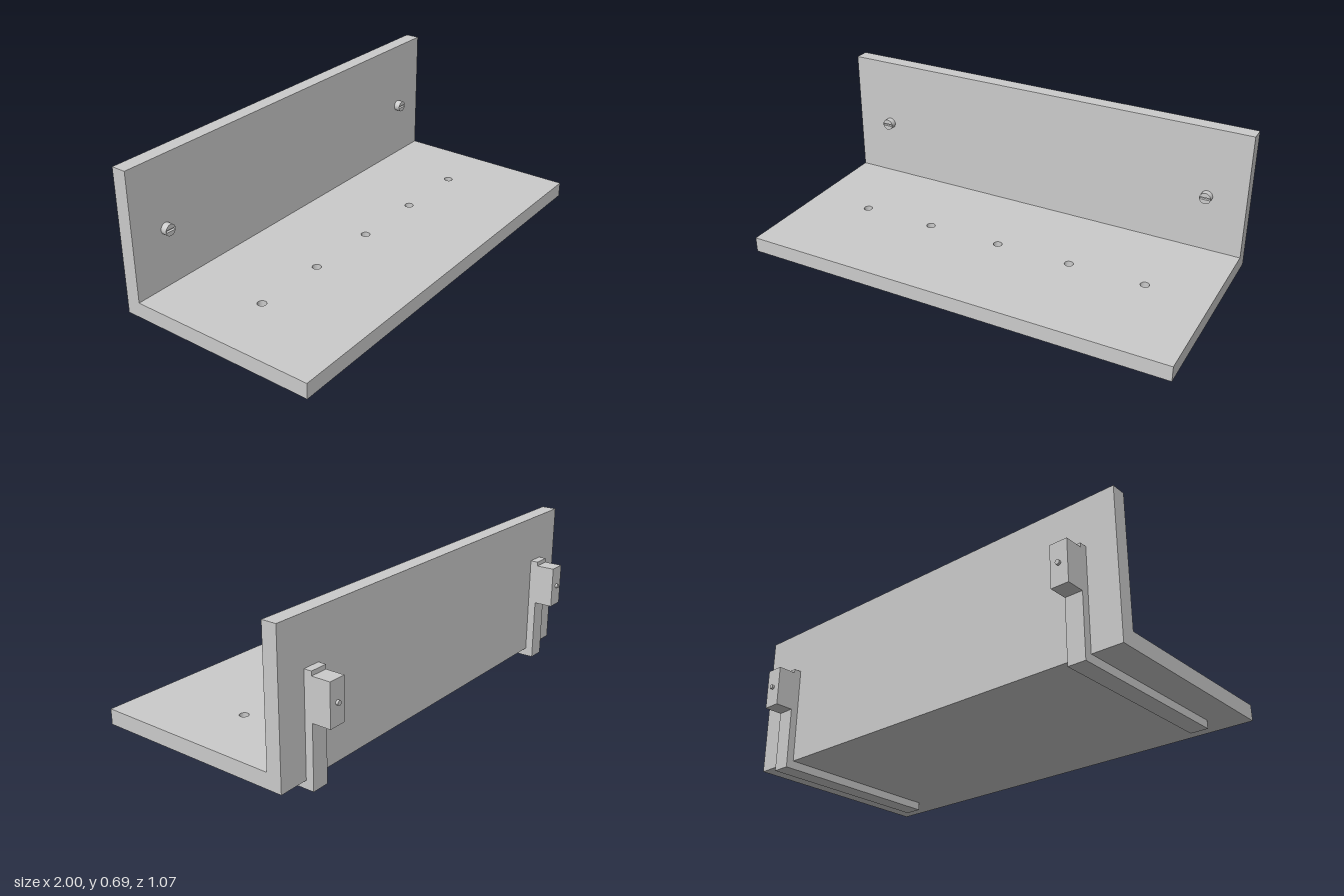
import * as THREE from 'three';

const material = new THREE.MeshStandardMaterial({ color: 0xcccccc });

function addMesh(parent, name, geometry) {
  const mesh = new THREE.Mesh(geometry, material);
  mesh.name = name;
  parent.add(mesh);
  return mesh;
}

// Box given by its lower and upper corner
function addBox(parent, name, [x0, y0, z0], [x1, y1, z1]) {
  const mesh = addMesh(parent, name, new THREE.BoxGeometry(x1 - x0, y1 - y0, z1 - z0));
  mesh.position.set((x0 + x1) / 2, (y0 + y1) / 2, (z0 + z1) / 2);
}

function rectangle(Type, x0, y0, x1, y1) {
  return new Type([[x0, y0], [x1, y0], [x1, y1], [x0, y1]].map(([x, y]) => new THREE.Vector2(x, y)));
}

function extrude(shape, depth) {
  return new THREE.ExtrudeGeometry(shape, { depth, bevelEnabled: false, curveSegments: 24 });
}

// Strap under and behind the boards, with a clamp block, screw head and bolt end
function makeBracket() {
  const bracket = new THREE.Group();
  const width = 0.08;
  const profile = new THREE.Shape([
    [-0.405, 0], [0.438, 0], [0.438, 0.28], [0.522, 0.28], [0.522, 0.465],
    [0.438, 0.465], [0.438, 0.484], [0.403, 0.484], [0.403, 0.037], [-0.405, 0.037],
  ].map(([z, y]) => new THREE.Vector2(z, y)));
  const strap = extrude(profile, width);
  strap.translate(0, 0, -width / 2);
  strap.rotateY(Math.PI / 2); // profile x runs toward the back
  addMesh(bracket, 'strapAndBlock', strap);

  const headShape = new THREE.Shape().absarc(0, 0, 0.026, 0, Math.PI * 2);
  headShape.holes.push(rectangle(THREE.Path, -0.025, -0.005, 0.025, 0.005));
  const slottedFace = addMesh(bracket, 'slottedScrewFace', extrude(headShape, 0.012));
  slottedFace.position.set(0, 0.373, -0.318);

  const head = addMesh(bracket, 'screwHead', new THREE.CylinderGeometry(0.026, 0.026, 0.03, 48));
  head.rotation.x = Math.PI / 2;
  head.position.set(0, 0.373, -0.333);

  const bolt = addMesh(bracket, 'boltEnd', new THREE.CylinderGeometry(0.01, 0.01, 0.03, 24));
  bolt.rotation.x = Math.PI / 2;
  bolt.position.set(0, 0.373, -0.518);
  return bracket;
}

export function createModel() {
  const model = new THREE.Group();
  model.name = 'bracketedShelf';

  // Upright board and the lower layer of the shelf board
  addBox(model, 'backBoard', [-1, 0.037, -0.403], [1, 0.695, -0.335]);
  addBox(model, 'shelfBase', [-1, 0.037, -0.335], [1, 0.067, 0.533]);

  // Upper layer of the shelf with a row of blind holes
  const top = rectangle(THREE.Shape, -1, -0.533, 1, 0.335);
  for (let i = -2; i <= 2; i++) {
    top.holes.push(new THREE.Path().absarc(i * 0.353, -0.062, 0.02, 0, Math.PI * 2));
  }
  const shelf = addMesh(model, 'shelfTop', extrude(top, 0.04));
  shelf.rotation.x = -Math.PI / 2;
  shelf.position.y = 0.067;

  for (const side of [-1, 1]) {
    const bracket = makeBracket();
    bracket.name = side > 0 ? 'leftBracket' : 'rightBracket';
    bracket.position.x = side * 0.823;
    model.add(bracket);
  }
  return model;
}
